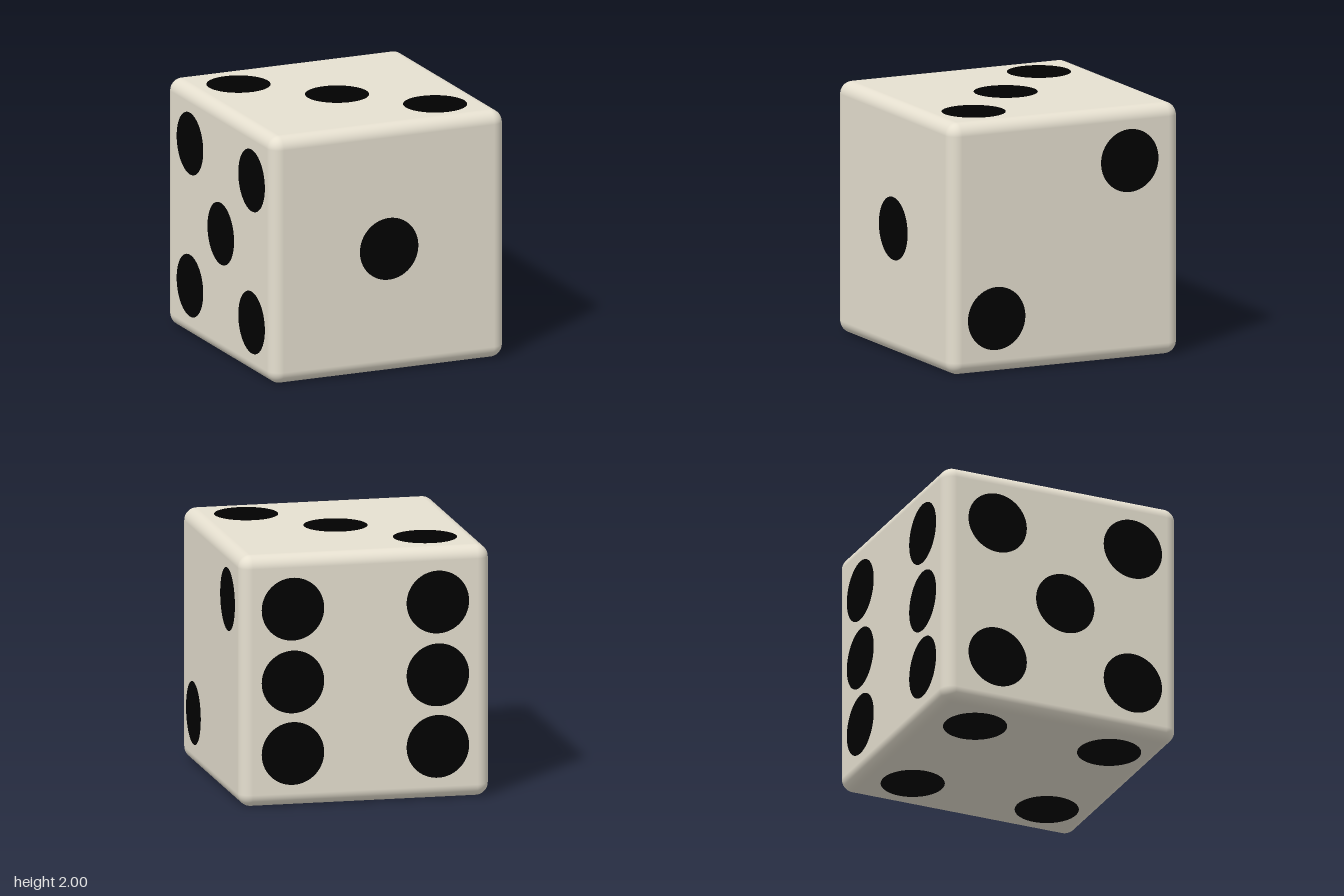
import * as THREE from 'three';
import { RoundedBoxGeometry } from 'three/addons/geometries/RoundedBoxGeometry.js';

const EDGE = 0.1; // edge rounding
const FLAT = 1 - EDGE; // half width of the flat part of a face
const PIP = 0.25; // pip radius

// Rounded edges and corners only: a rounded cube without its six flat squares
function roundedFrame() {
  const geometry = new RoundedBoxGeometry(2, 2, 2, 8, EDGE);
  const position = geometry.getAttribute('position');
  const normal = geometry.getAttribute('normal');
  const isAxial = (i) =>
    Math.max(Math.abs(normal.getX(i)), Math.abs(normal.getY(i)), Math.abs(normal.getZ(i))) > 0.9999;
  const points = [];
  const normals = [];
  for (let i = 0; i < position.count; i += 3) {
    if (isAxial(i) && isAxial(i + 1) && isAxial(i + 2)) continue;
    for (let j = i; j < i + 3; j++) {
      points.push(position.getX(j), position.getY(j), position.getZ(j));
      normals.push(normal.getX(j), normal.getY(j), normal.getZ(j));
    }
  }
  const frame = new THREE.BufferGeometry();
  frame.setAttribute('position', new THREE.Float32BufferAttribute(points, 3));
  frame.setAttribute('normal', new THREE.Float32BufferAttribute(normals, 3));
  return frame;
}

// Flat square with a round hole for each pip
function facePlate(pips) {
  const shape = new THREE.Shape();
  shape.moveTo(-FLAT, -FLAT).lineTo(FLAT, -FLAT).lineTo(FLAT, FLAT).lineTo(-FLAT, FLAT);
  for (const [x, y] of pips) {
    shape.holes.push(new THREE.Path().absarc(x, y, PIP, 0, Math.PI * 2, true));
  }
  return new THREE.ShapeGeometry(shape, 48);
}

// All pairs of the given columns and rows
const grid = (columns, rows) => columns.flatMap((x) => rows.map((y) => [x, y]));

export function createModel() {
  const ivory = new THREE.MeshStandardMaterial({ name: 'ivory', color: 0xe6e0d0 });
  const black = new THREE.MeshStandardMaterial({ name: 'black', color: 0x010101, side: THREE.DoubleSide });
  const die = new THREE.Group();
  die.name = 'die';

  const frame = new THREE.Mesh(roundedFrame(), ivory);
  frame.name = 'roundedEdges';
  frame.position.y = 1;
  die.add(frame);

  // Each face: turn about x and y, and pip centres in the plane of the face
  const quarter = Math.PI / 2;
  const faces = {
    front: { turn: [0, 0], pips: [[0, 0]] },
    right: { turn: [0, quarter], pips: [[-0.6, -0.57], [0.56, 0.58]] },
    top: { turn: [-quarter, 0], pips: [[-0.58, 0.56], [0, -0.02], [0.58, -0.59]] },
    bottom: { turn: [quarter, 0], pips: grid([-0.58, 0.58], [-0.55, 0.6]) },
    left: { turn: [0, -quarter], pips: [[0.03, -0.01], ...grid([-0.55, 0.61], [-0.58, 0.57])] },
    back: { turn: [0, Math.PI], pips: grid([-0.58, 0.58], [-0.58, -0.01, 0.57]) },
  };

  // Hollow half-ball sunk behind the face
  const dimple = new THREE.SphereGeometry(PIP, 24, 24, Math.PI, Math.PI);

  for (const [name, { turn, pips }] of Object.entries(faces)) {
    const face = new THREE.Group();
    face.name = `${name}Face`;
    face.rotation.set(turn[0], turn[1], 0);
    face.position.set(0, 0, 1).applyEuler(face.rotation);
    face.position.y += 1;

    const plate = new THREE.Mesh(facePlate(pips), ivory);
    plate.name = 'plate';
    face.add(plate);

    for (const [x, y] of pips) {
      const pip = new THREE.Mesh(dimple, black);
      pip.name = 'pip';
      pip.position.set(x, y, 0);
      face.add(pip);
    }
    die.add(face);
  }
  return die;
}
